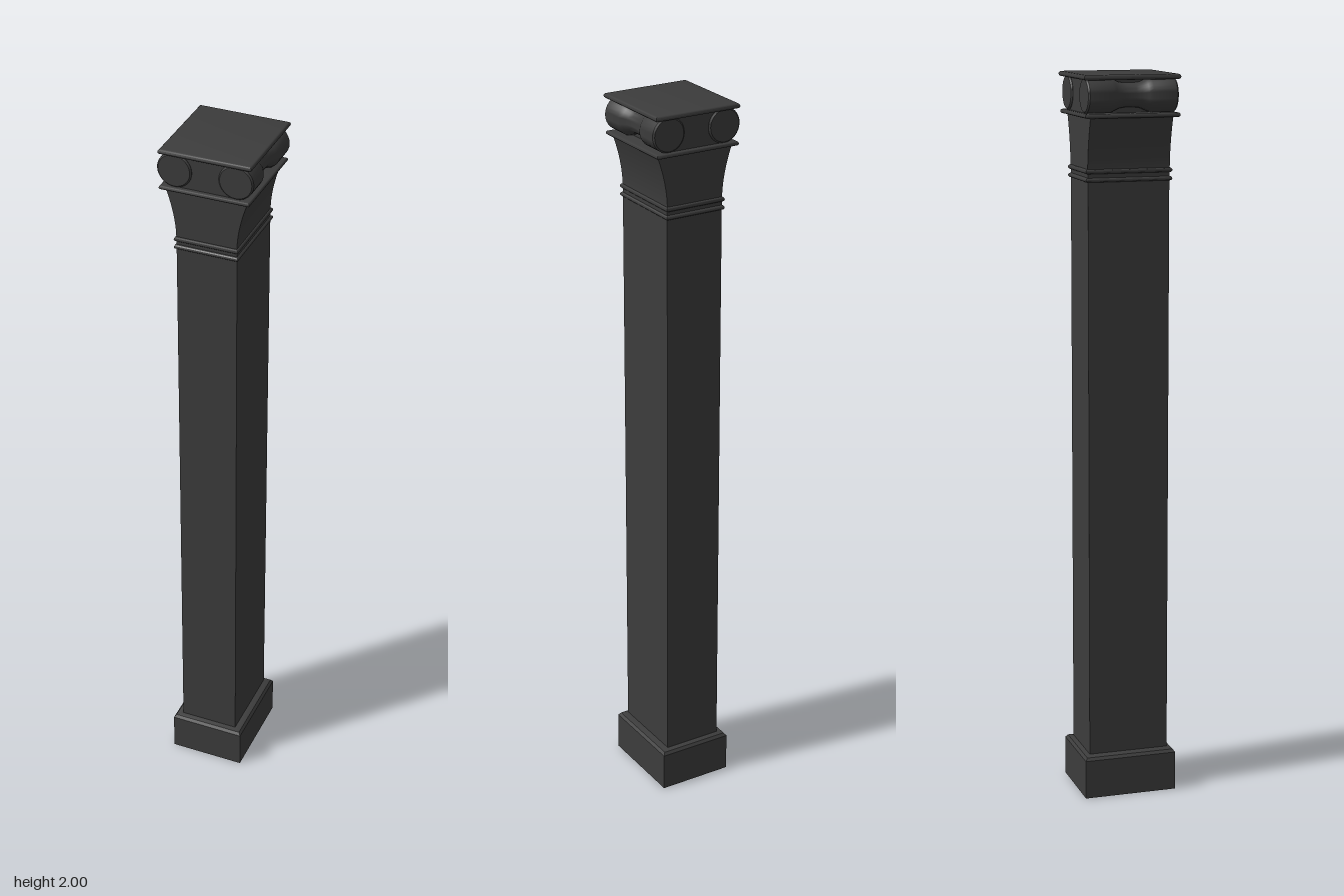
import * as THREE from 'three';
import { toCreasedNormals } from 'three/addons/utils/BufferGeometryUtils.js';

const material = new THREE.MeshStandardMaterial({ color: 0x3c3c3c });

// Closed solid through rectangular sections [halfX, halfZ, y], bottom to top
function rectLoft(sections) {
  const pos = [], index = [];
  for (const [x, z, y] of sections) pos.push(-x, y, z, x, y, z, x, y, -z, -x, y, -z);
  for (let s = 0; s < sections.length - 1; s++) {
    for (let i = 0; i < 4; i++) {
      const a = s * 4 + i, b = s * 4 + (i + 1) % 4;
      index.push(a, b, b + 4, a, b + 4, a + 4);
    }
  }
  const t = (sections.length - 1) * 4;
  index.push(0, 2, 1, 0, 3, 2, t, t + 1, t + 2, t, t + 2, t + 3);
  const geo = new THREE.BufferGeometry();
  geo.setAttribute('position', new THREE.Float32BufferAttribute(pos, 3));
  geo.setIndex(index);
  return toCreasedNormals(geo, 0.6);
}

// Flat moulding with a half-round edge
function moulding(hx, hz, y0, y1) {
  const r = (y1 - y0) / 2, sections = [];
  for (let i = 0; i <= 6; i++) {
    const a = -Math.PI / 2 + (i / 6) * Math.PI;
    const inset = r * (1 - Math.cos(a));
    sections.push([hx - inset, hz - inset, y0 + r + r * Math.sin(a)]);
  }
  return rectLoft(sections);
}

export function createModel() {
  const group = new THREE.Group();
  const add = (name, geo, x = 0, y = 0, z = 0) => {
    const mesh = new THREE.Mesh(geo, material);
    mesh.name = name;
    mesh.position.set(x, y, z);
    group.add(mesh);
    return mesh;
  };

  // Plinth with a chamfered top, and the plain shaft
  add('base', rectLoft([[0.106, 0.131, 0], [0.106, 0.131, 0.109], [0.1, 0.125, 0.117], [0.083, 0.113, 0.121]]));
  add('shaft', rectLoft([[0.083, 0.113, 0.11], [0.083, 0.113, 1.76]]));

  // Two neck rings
  add('lowerNeckRing', moulding(0.088, 0.12, 1.717, 1.729));
  add('upperNeckRing', moulding(0.088, 0.12, 1.739, 1.752));

  // Bell flaring sideways only
  const bell = [];
  for (let i = 0; i <= 12; i++) {
    const t = i / 12;
    bell.push([0.083 + 0.029 * Math.pow(t, 1.8), 0.114, 1.75 + 0.14 * t]);
  }
  add('bell', rectLoft(bell));
  add('bellSlab', moulding(0.122, 0.131, 1.887, 1.899));

  // Block between the scrolls
  add('capitalBlock', new THREE.BoxGeometry(0.166, 0.092, 0.238), 0, 1.942, 0);

  // Scrolls: bolsters running front to back, narrow in the middle
  const half = [[0, 0.124], [0.043, 0.124], [0.047, 0.12], [0.047, 0.056], [0.041, 0.044], [0.034, 0.028], [0.032, 0.012]];
  const profile = [...half.map(([r, z]) => [r, -z]), ...half.slice().reverse()]
    .map(([r, z]) => new THREE.Vector2(r, z));
  const scroll = toCreasedNormals(new THREE.LatheGeometry(profile, 32), 0.6);
  scroll.rotateX(Math.PI / 2);
  add('leftScroll', scroll, 0.083, 1.945, 0);
  add('rightScroll', scroll, -0.083, 1.945, 0);

  // Top slab
  add('abacus', moulding(0.125, 0.133, 1.986, 2), 0.002, 0, -0.001);
  return group;
}
